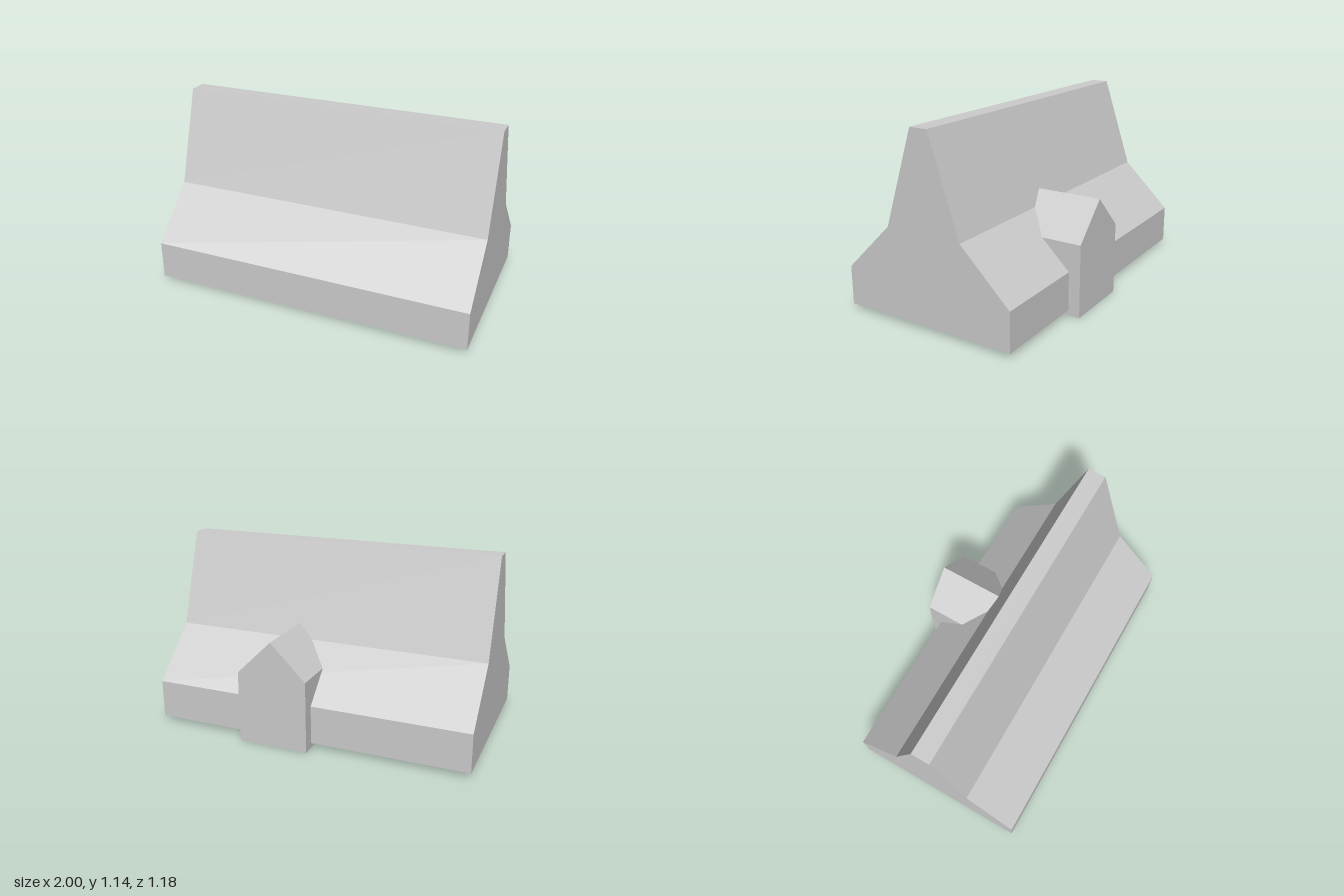
import * as THREE from 'three';

// Prism with the given outline, running along z from z0 to z0 + depth
function prism(name, points, z0, depth, material) {
  const shape = new THREE.Shape(points.map(([x, y]) => new THREE.Vector2(x, y)));
  const geometry = new THREE.ExtrudeGeometry(shape, { depth, bevelEnabled: false });
  geometry.translate(0, 0, z0);
  const mesh = new THREE.Mesh(geometry, material);
  mesh.name = name;
  return mesh;
}

export function createModel() {
  const group = new THREE.Group();
  group.name = 'roadBarrier';
  const concrete = new THREE.MeshStandardMaterial({ color: 0xcccccc });
  concrete.name = 'concrete grey';

  // Long barrier: symmetric stepped profile about z = 0.036, turned to run along x
  const centre = 0.036;
  const half = [[0.555, 0.031], [0.555, 0.268], [0.247, 0.568], [0.057, 1.145]];
  const profile = [
    ...half.map(([z, y]) => [centre + z, y]),
    ...half.slice().reverse().map(([z, y]) => [centre - z, y]),
  ];
  const barrier = prism('barrierBody', profile, -1, 2, concrete);
  barrier.geometry.rotateY(-Math.PI / 2);
  group.add(barrier);

  // Gabled block set into the back
  const gable = [[-0.037, 0], [0.401, 0], [0.401, 0.443], [0.182, 0.658], [-0.037, 0.443]];
  group.add(prism('gabledBlock', gable, -0.591, 0.438, concrete));

  return group;
}
